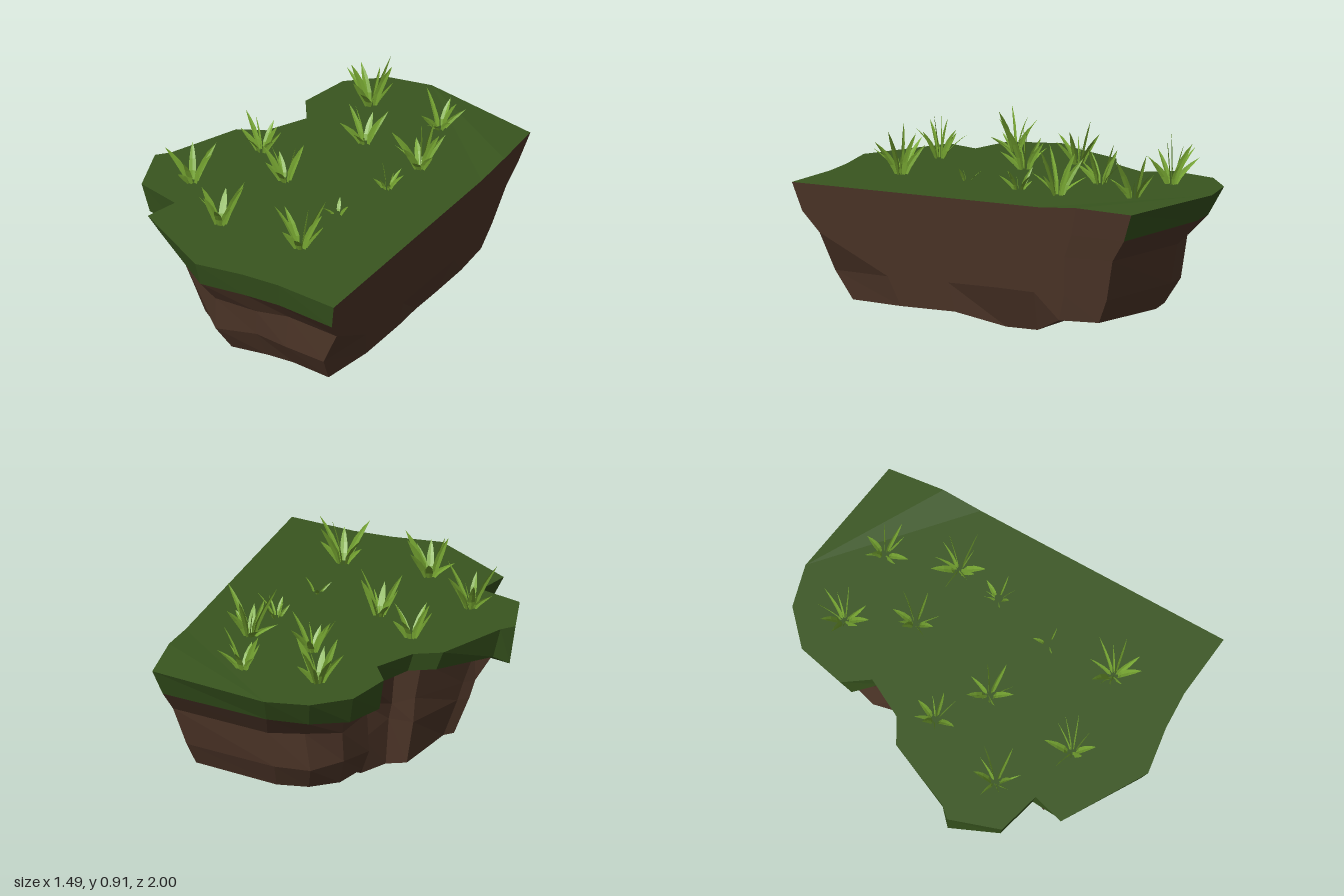
import * as THREE from 'three';

const mat = (name, color) => Object.assign(new THREE.MeshStandardMaterial({ color, flatShading: true }), { name });

// Seeded random numbers
let seed = 7;
const rand = (a, b) => {
  seed = (seed * 16807) % 2147483647;
  return a + (b - a) * (seed / 2147483647);
};

// Profiles: inward scale of the rim, then [y, inward scale, extra x inset] of the three soil rings
const FRONT = { rim: 0.955, rings: [[0.4, 0.875, 0], [0.215, 0.84, 0], [0.065, 0.75, 0]] };
const FRONT_CORNER = { rim: 0.96, rings: [[0.41, 0.875, 0], [0.21, 0.84, 0.05], [0.065, 0.752, 0.04]] };
const FRONT_LEFT = { rim: 0.95, rings: [[0.41, 0.85, 0], [0.23, 0.78, 0], [0.065, 0.72, 0]] };
const LOBE = { rim: 0.95, rings: [[0.36, 0.82, 0], [0.25, 0.785, 0], [0.06, 0.705, 0]] };
const BACK = { rim: 0.925, rings: [[0.41, 0.835, 0], [0.21, 0.79, 0], [0.075, 0.715, 0]] };
const CORNER = { rim: 0.935, rings: [[0.41, 0.85, 0], [0.2, 0.785, 0], [0.078, 0.72, 0]] };

// Outline columns, front right corner first, round by the left side: [x, z, rim bottom y, overhang, profile]
const COLS = [
  [0.74, 0.98, 0.515, 0, FRONT_CORNER], [0.4, 0.95, 0.515, 0, FRONT], [0.2, 0.96, 0.515, 0, FRONT],
  [-0.05, 1.0, 0.522, 0, FRONT], [-0.48, 0.75, 0.57, 0, FRONT_LEFT], [-0.43, 0.58, 0.505, 1, LOBE],
  [-0.66, 0.52, 0.5, 1, LOBE], [-0.745, 0.26, 0.46, 1, LOBE], [-0.69, 0.2, 0.51, 1, LOBE],
  [-0.53, -0.15, 0.56, 1, LOBE], [-0.4, -0.22, 0.56, 1, LOBE], [-0.29, -0.42, 0.53, 0, BACK],
  [-0.38, -0.55, 0.48, 1, BACK], [-0.32, -0.8, 0.5, 1, BACK], [-0.15, -0.95, 0.52, 0, BACK],
  [0.07, -1.0, 0.53, 0, BACK], [0.71, -0.89, 0.52, 0, CORNER], [0.737, -0.6, 0.53, 0, BACK],
  [0.74, -0.39, 0.53, 0, BACK], [0.74, -0.14, 0.53, 0, FRONT], [0.74, 0.2, 0.53, 0, FRONT],
  [0.74, 0.6, 0.53, 0, FRONT],
];
const CUT_START = 16;               // columns from here back to 0 form the flat cut side
const DIPS = [9, 10, 11, 18, 19];   // columns that reach the ground

// Slope of the cut side
const cutX = (y) => 0.598 + (y - 0.065) * 0.237;

// Pull a column in towards the cut side by factor s, at height y
const at = ([x, z], y, s, inset = 0) => new THREE.Vector3(cutX(y) - (0.74 - x) * s - inset, y, z * s);

// Points of one column, from the turf down to the underside
function columnPoints(c, i) {
  const [, , rimY, overhang, profile] = c;
  const wob = i === 0 || i >= CUT_START ? 0 : Math.sin(i * 2.3) * 0.014;
  const [upper, middle, lowest] = profile.rings;
  const rim = at(c, rimY, profile.rim);
  const low = at(c, ...lowest);
  if (DIPS.includes(i)) low.set(low.x - (i >= CUT_START ? 0.06 : 0.02), 0.003, low.z);
  return [
    at(c, i === 17 ? 0.677 : 0.662, 1),
    rim,
    overhang ? at(c, rimY + 0.02, 0.89) : rim.clone(),
    at(c, upper[0] + wob, upper[1], upper[2]),
    at(c, middle[0] - wob, middle[1], middle[2]),
    low,
  ];
}

function meshFrom(name, points, material) {
  const g = new THREE.BufferGeometry().setFromPoints(points);
  g.computeVertexNormals();
  const m = new THREE.Mesh(g, material);
  m.name = name;
  return m;
}

// Fill a loop of points, facing up (1) or down (-1)
function cap(loop, up) {
  const flat = loop.map((p) => new THREE.Vector2(p.x, p.z));
  const out = [];
  for (const [a, b, c] of THREE.ShapeUtils.triangulateShape(flat, [])) {
    const t = [loop[a], loop[b], loop[c]];
    const n = t[1].clone().sub(t[0]).cross(t[2].clone().sub(t[0]));
    out.push(...(n.y * up < 0 ? t.reverse() : t));
  }
  return out;
}

// Sickle-shaped blade that leans along angle; twist turns its broad face
function bladePoints(x, z, angle, height, lean, width, twist) {
  const heading = (a) => new THREE.Vector3(Math.cos(a), 0, Math.sin(a));
  const dir = heading(angle), across = heading(angle + twist), side = heading(angle + twist + Math.PI / 2);
  const rows = [[0, 0.5], [0.3, 0.95], [0.6, 0.9], [0.82, 0.55], [1, 0]].map(([t, w]) => {
    const mid = new THREE.Vector3(x, 0.655 + height * t, z).addScaledVector(dir, 0.02 + lean * t ** 1.5);
    const edge = (s) => mid.clone().addScaledVector(across, s * w * width / 2).addScaledVector(side, w * width * 0.12);
    return [edge(-1), mid, edge(1)];
  });
  const out = [];
  for (let i = 0; i < rows.length - 1; i++) {
    for (let k = 0; k < 2; k++) {
      const [a, b, c, d] = [rows[i][k], rows[i][k + 1], rows[i + 1][k], rows[i + 1][k + 1]];
      out.push(a, c, b, b, c, d);
    }
  }
  return out;
}

export function createModel() {
  const group = new THREE.Group();
  const turfMat = mat('turf green', 0x39561f);
  const soilMat = mat('soil brown', 0x52392b);
  const bladeMat = mat('blade green', 0x78a832);
  bladeMat.side = THREE.DoubleSide;

  // Sides: turf rim, overhang and soil below, and the bare cut face
  const cols = COLS.map(columnPoints);
  const rim = [], soil = [], cutFace = [];
  cols.forEach((a, i) => {
    const b = cols[(i + 1) % cols.length];
    for (let r = 0; r < a.length - 1; r++) {
      const target = i >= CUT_START ? cutFace : r < 2 ? rim : soil;
      for (const t of [[a[r], b[r], a[r + 1]], [b[r], b[r + 1], a[r + 1]]]) {
        if (new THREE.Triangle(...t).getArea() > 1e-6) target.push(...t);
      }
    }
  });

  // Underside in strips, with a low ridge across
  const low = (ids) => cap(ids.map((i) => cols[i][5]), -1);
  const underside = [
    [0, 1, 2, 3, 4, 5, 6, 7, 8, 20, 21], [8, 9, 19, 20], [9, 10, 11, 18, 19],
    [11, 12, 17, 18], [12, 13, 14, 15, 16, 17],
  ].flatMap(low);

  group.add(
    meshFrom('turfTop', cap(cols.map((c) => c[0]), 1), turfMat),
    meshFrom('turfRim', rim, turfMat),
    meshFrom('soilSides', soil, soilMat),
    meshFrom('soilCutFace', cutFace, soilMat),
    meshFrom('soilUnderside', underside, soilMat),
  );

  // Grass tufts: [x, z, height, blades]
  const tufts = [
    [-0.09, -0.69, 0.25, 10], [0.31, -0.69, 0.22, 8], [0.07, -0.38, 0.22, 8], [0.42, -0.33, 0.26, 10],
    [-0.32, -0.05, 0.21, 8], [-0.08, 0.12, 0.23, 9], [-0.46, 0.37, 0.23, 9], [-0.14, 0.62, 0.25, 9],
    [0.31, 0.6, 0.25, 10], [0.38, -0.09, 0.13, 7], [0.3, 0.24, 0.09, 3],
  ];
  for (const [x, z, h, n] of tufts) {
    const pts = [];
    for (let i = 0; i < n; i++) {
      const angle = (i / n) * Math.PI * 2 + rand(-0.3, 0.3);
      const height = h * (i % 4 === 0 ? rand(0.85, 1) : rand(0.35, 0.75));
      const lean = rand(0.07, 0.12) * (0.3 + h * 3);
      const twist = i % 4 === 2 ? Math.PI / 2 : rand(-0.4, 0.4);
      pts.push(...bladePoints(x, z, angle, height, lean, 0.01 + h * 0.11, twist));
    }
    group.add(meshFrom('grassTuft', pts, bladeMat));
  }
  return group;
}
